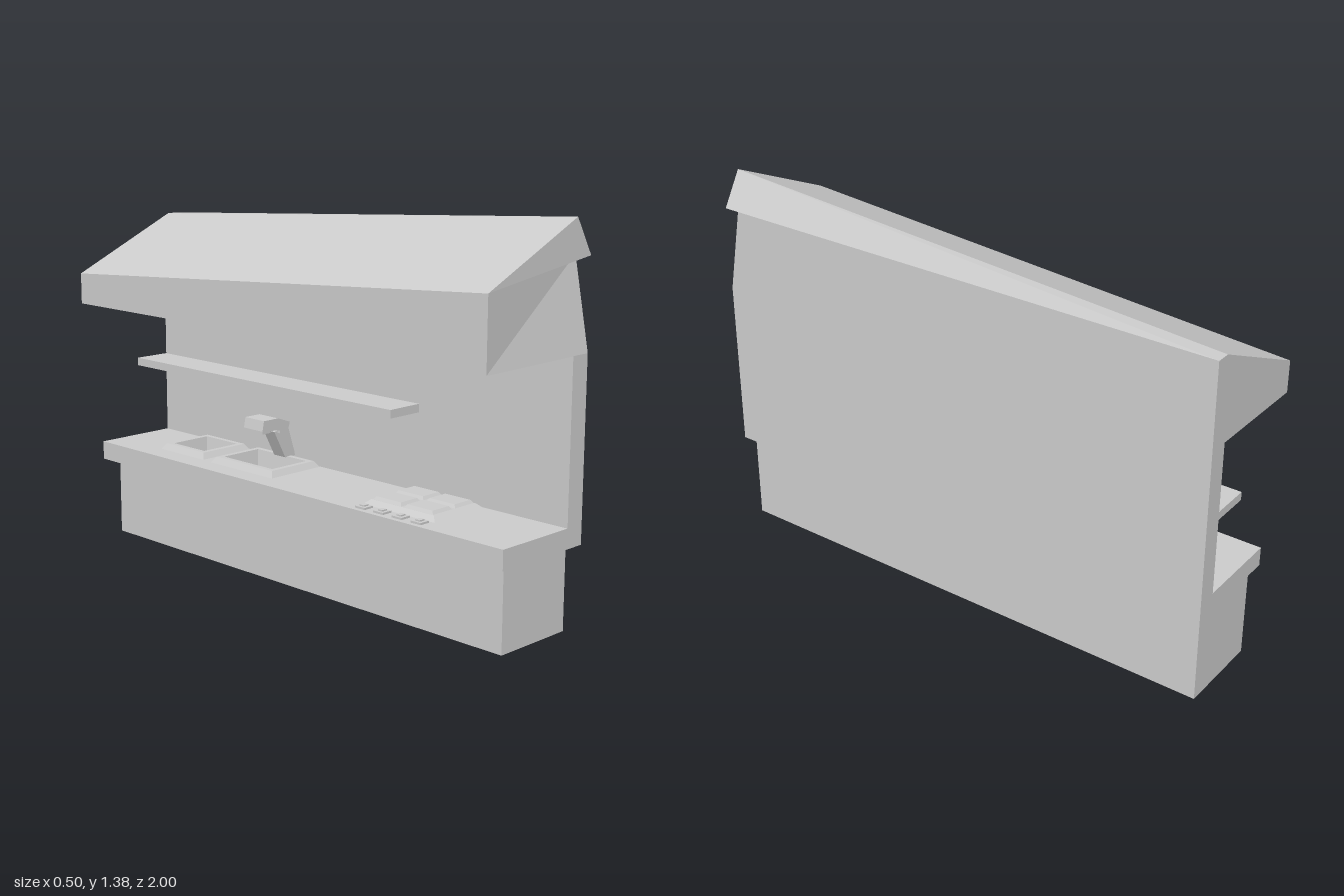
import * as THREE from 'three';

const material = new THREE.MeshStandardMaterial({ color: 0xcccccc, flatShading: true });

function add(group, name, geometry) {
  const mesh = new THREE.Mesh(geometry, material);
  mesh.name = name;
  group.add(mesh);
  return mesh;
}

// Box given by its limits on each axis
function box(x0, x1, y0, y1, z0, z1) {
  const g = new THREE.BoxGeometry(x1 - x0, y1 - y0, z1 - z0);
  return g.translate((x0 + x1) / 2, (y0 + y1) / 2, (z0 + z1) / 2);
}

// Flat polygons, each a counter-clockwise list of corners
function facets(polygons) {
  const pos = [];
  for (const p of polygons)
    for (let i = 1; i < p.length - 1; i++) pos.push(...p[0], ...p[i], ...p[i + 1]);
  const g = new THREE.BufferGeometry();
  g.setAttribute('position', new THREE.Float32BufferAttribute(pos, 3));
  g.computeVertexNormals();
  return g;
}

// Rectangular rings [x0, x1, z0, z1, y] joined in order, the last one capped
function loft(rings) {
  const loops = rings.map(([x0, x1, z0, z1, y]) => [[x0, y, z1], [x1, y, z1], [x1, y, z0], [x0, y, z0]]);
  const faces = [loops[loops.length - 1]];
  for (let k = 0; k < loops.length - 1; k++)
    for (let i = 0; i < 4; i++) {
      const j = (i + 1) % 4, a = loops[k], b = loops[k + 1];
      faces.push([a[i], a[j], b[j], b[i]]);
    }
  return facets(faces);
}

// Rectangle shrunk on every side, at height y
const inset = ([x0, x1, z0, z1], d, y) => [x0 + d, x1 - d, z0 + d, z1 - d, y];

// Side profile in x and y, extruded along z about a centre
function profile(points, width, z) {
  const shape = new THREE.Shape(points.map(p => new THREE.Vector2(...p)));
  const g = new THREE.ExtrudeGeometry(shape, { depth: width, bevelEnabled: false });
  return g.translate(0, 0, z - width / 2);
}

function createHood() {
  const hood = new THREE.Group();
  hood.name = 'hood';
  // Corners at the front end
  const eave = [-0.25, 1.18, 1], ridge = [0.175, 1.375, 1], corner = [0.25, 1.25, 1];
  const lowFront = [-0.25, 0.935, 1], wallFront = [0.25, 0.94, 1], wallTop = [0.25, 1.25, 0.94];
  // Corners at the back end
  const eaveB = [-0.235, 1.05, -1], ridgeB = [0.198, 1.25, -1], cornerB = [0.25, 1.25, -1];
  const lowBack = [-0.235, 0.935, -1], wallBack = [0.25, 0.94, -1];
  add(hood, 'roof', facets([
    [eave, ridge, ridgeB], [eave, ridgeB, eaveB],
    [ridge, corner, cornerB, ridgeB],
    [eave, corner, ridge],
    [eave, wallTop, corner],
  ]));
  add(hood, 'hoodSides', facets([
    [lowFront, wallFront, wallTop], [lowFront, wallTop, eave],
    [lowFront, eave, eaveB], [lowFront, eaveB, lowBack],
    [wallFront, wallBack, cornerB, wallTop],
    [wallBack, lowBack, eaveB, ridgeB, cornerB],
  ]));
  // Underside with its recess; x limits swapped so it faces down
  add(hood, 'hoodUnderside', loft([
    [0.175, -0.24, -1, 1, 0.94],
    [0.17, -0.2, -0.94, 0.92, 0.94],
    [0.17, -0.2, -0.94, 0.92, 1.02],
  ]));
  return hood;
}

function createFaucet(z) {
  const faucet = new THREE.Group();
  faucet.name = 'faucet';
  add(faucet, 'faucetNeck', profile([[0.125, 0.4], [0.175, 0.4], [0.172, 0.415], [0.14, 0.515], [0.07, 0.505]], 0.06, z));
  add(faucet, 'faucetHead', profile([[-0.008, 0.522], [0.07, 0.515], [0.12, 0.508], [0.13, 0.538], [0.07, 0.56], [0, 0.56]], 0.1, z));
  add(faucet, 'faucetNozzle', box(0.01, 0.05, 0.505, 0.525, z - 0.03, z + 0.03));
  add(faucet, 'faucetHinge', box(0.085, 0.125, 0.5, 0.515, z - 0.045, z + 0.045));
  return faucet;
}

function createStove() {
  const stove = new THREE.Group();
  stove.name = 'stove';
  const area = [-0.08, 0.17, 0.34, 0.66];
  add(stove, 'stovePlate', loft([inset(area, 0, 0.38), inset(area, 0.02, 0.397)]));
  // Four raised burner plates
  for (const x of [-0.06, 0.05])
    for (const z of [0.365, 0.505]) {
      const plate = [x, x + 0.1, z, z + 0.13];
      add(stove, 'burner', loft([inset(plate, 0, 0.395), inset(plate, 0.01, 0.408)]));
    }
  // Row of knobs
  for (let i = 0; i < 4; i++) {
    const z = 0.375 + i * 0.083;
    add(stove, 'knob', box(-0.132, -0.09, 0.378, 0.387, z - 0.022, z + 0.022));
    add(stove, 'knobGrip', box(-0.122, -0.1, 0.385, 0.392, z - 0.01, z + 0.01));
  }
  return stove;
}

export function createModel() {
  const model = new THREE.Group();
  model.name = 'kitchenette';

  add(model, 'baseCabinet', box(-0.07, 0.25, 0, 0.31, -1, 0.94));
  add(model, 'backWall', box(0.175, 0.25, 0.375, 0.94, -1, 1));
  add(model, 'shelf', box(0.03, 0.18, 0.66, 0.69, -1, 0.36));

  // Countertop with openings for the two sinks
  const sinks = { smallSink: [-0.065, 0.17, -0.745, -0.5], largeSink: [-0.07, 0.17, -0.45, -0.12] };
  const rectangle = (path, x0, x1, z0, z1) =>
    path.moveTo(x0, z0).lineTo(x1, z0).lineTo(x1, z1).lineTo(x0, z1).closePath();
  const top = rectangle(new THREE.Shape(), -0.15, 0.25, -1, 1);
  for (const area of Object.values(sinks))
    top.holes.push(rectangle(new THREE.Path(), ...inset(area, 0.02, 0).slice(0, 4)));
  const counter = new THREE.ExtrudeGeometry(top, { depth: 0.07, bevelEnabled: false });
  add(model, 'countertop', counter.rotateX(Math.PI / 2).translate(0, 0.38, 0));

  // Sinks: sloped rim, flat lip, tapered basin
  for (const [name, area] of Object.entries(sinks))
    add(model, name, loft([
      inset(area, 0, 0.38), inset(area, 0.015, 0.402), inset(area, 0.035, 0.402), inset(area, 0.05, 0.315),
    ]));

  model.add(createFaucet(-0.285), createStove(), createHood());
  return model;
}
